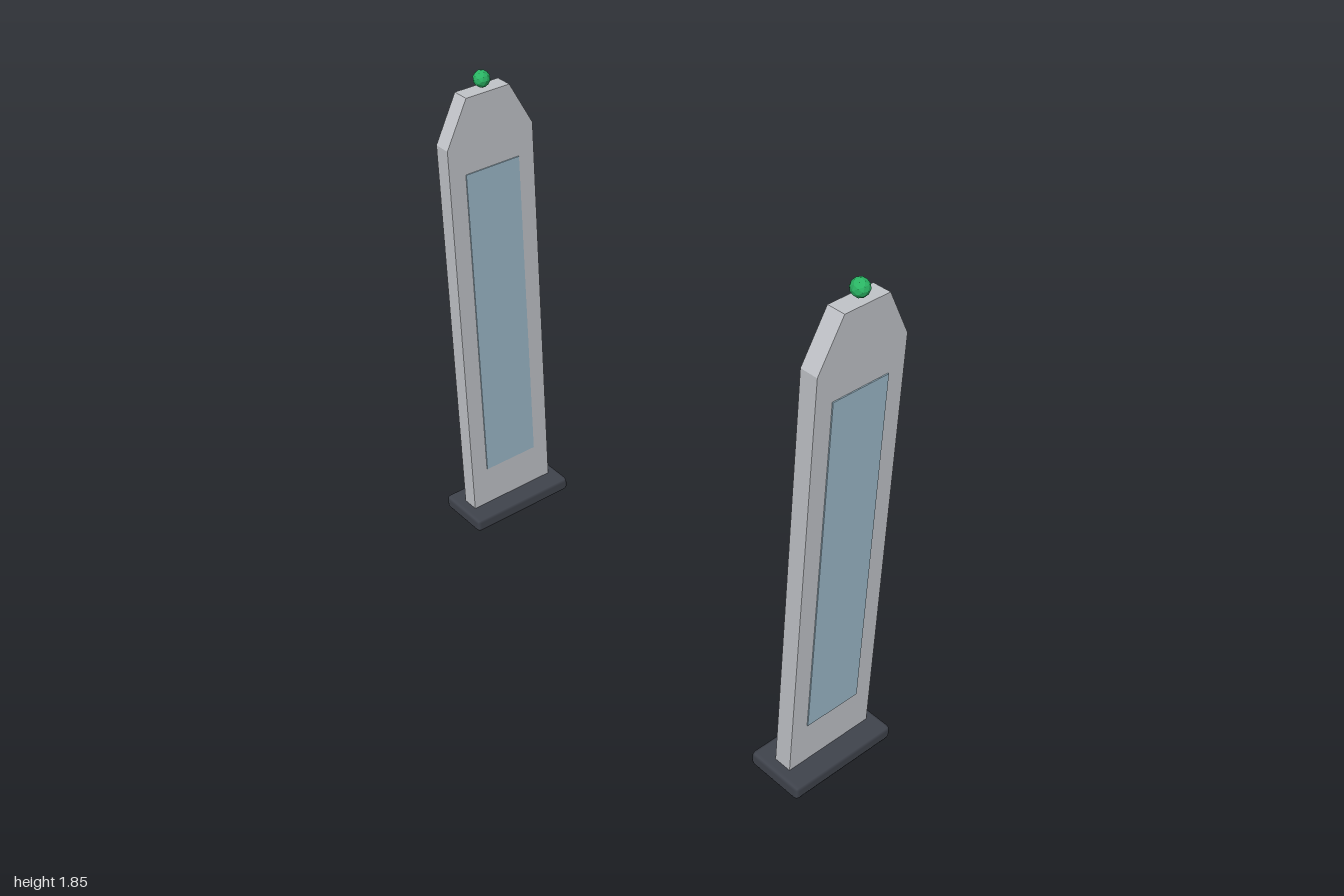
import * as THREE from 'three';
import { RoundedBoxGeometry } from 'three/addons/geometries/RoundedBoxGeometry.js';

const mat = (name, color) => {
  const m = new THREE.MeshStandardMaterial({ color });
  m.name = name;
  return m;
};

export function createModel() {
  const grey = mat('light grey', 0xc2c5ca);
  const blue = mat('pale blue', 0x9dbaca);
  const dark = mat('charcoal', 0x40444d);
  const green = mat('signal green', 0x2ab564);
  green.flatShading = true;

  const add = (parent, name, geometry, material, x, y, z) => {
    const mesh = new THREE.Mesh(geometry, material);
    mesh.name = name;
    mesh.position.set(x, y, z);
    parent.add(mesh);
  };

  // Slab outline: straight sides with tapered shoulders, extruded across x
  const thick = 0.066;
  const outline = new THREE.Shape([
    [-0.18, 0.04], [0.18, 0.04], [0.18, 1.61], [0.09, 1.78], [-0.09, 1.78], [-0.18, 1.61],
  ].map(([z, y]) => new THREE.Vector2(z, y)));
  const slab = new THREE.ExtrudeGeometry(outline, { depth: thick, bevelEnabled: false });
  slab.translate(0, 0, -thick / 2).rotateY(Math.PI / 2);

  const base = new RoundedBoxGeometry(0.22, 0.056, 0.44, 1, 0.015);
  const panel = new THREE.BoxGeometry(0.005, 1.28, 0.225);
  const lamp = new THREE.IcosahedronGeometry(0.031, 1);

  // Two matching pylons, one on each side
  const model = new THREE.Group();
  model.name = 'gate';
  for (const [name, x] of [['leftPylon', 0.89], ['rightPylon', -0.89]]) {
    const pylon = new THREE.Group();
    pylon.name = name;
    pylon.position.x = x;
    add(pylon, 'base', base, dark, 0, 0.028, 0);
    add(pylon, 'slab', slab, grey, 0, 0, 0);
    // Panels on the inner and outer faces
    for (const s of [-1, 1]) add(pylon, 'panel', panel, blue, s * (thick / 2 + 0.0015), 0.86, 0);
    add(pylon, 'lamp', lamp, green, 0, 1.815, 0);
    model.add(pylon);
  }
  return model;
}
